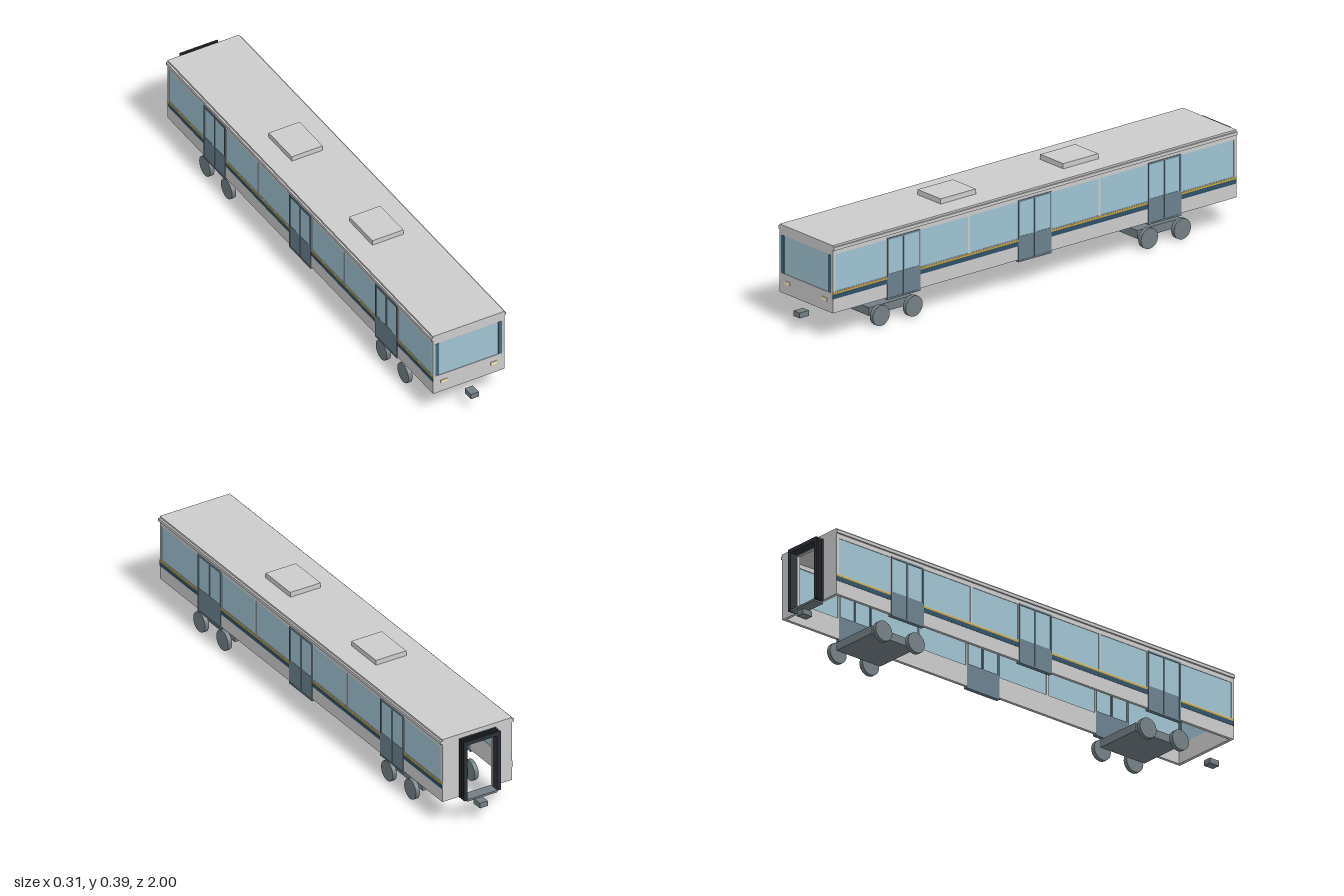
import * as THREE from 'three';

const mat = (color) => new THREE.MeshStandardMaterial({ color });

export function createModel() {
  const M = {
    body: mat(0xcccccc), glass: mat(0x9fc3d2), blue: mat(0x2f5068), yellow: mat(0xc9a63a),
    door: mat(0x6a808e), pillar: mat(0x45667a), lamp: mat(0xf5e6b8), rubber: mat(0x2c3238), steel: mat(0x737f85),
  };
  const root = new THREE.Group();
  root.name = 'railCar';

  // Box given by its limits on each axis
  function box(parent, name, material, x0, x1, y0, y1, z0, z1) {
    const m = new THREE.Mesh(new THREE.BoxGeometry(Math.abs(x1 - x0), y1 - y0, z1 - z0), material);
    m.position.set((x0 + x1) / 2, (y0 + y1) / 2, (z0 + z1) / 2);
    m.name = name;
    parent.add(m);
    return m;
  }
  function group(name, parent = root) {
    const g = new THREE.Group();
    g.name = name;
    parent.add(g);
    return g;
  }

  const END = 0.955, IN = 0.138, OUT = 0.15;
  const SILL = 0.192, HEAD = 0.335, BOTTOM = 0.11, EAVE = 0.352;
  const doors = [-0.615, 0, 0.62], doorHalf = 0.078;

  // Roof, gutters and roof units
  const roof = group('roof');
  box(roof, 'roofPanel', M.body, -OUT, OUT, EAVE, 0.372, -END, END);
  for (const s of [-1, 1]) {
    box(roof, 'gutter', M.body, s * 0.149, s * 0.157, 0.353, 0.365, -END, END);
    box(roof, 'roofUnit', M.body, -0.065, 0.065, 0.372, 0.392, s * 0.29 - 0.083, s * 0.29 + 0.083);
  }

  // Side walls, the same on both sides
  for (const s of [-1, 1]) {
    const side = group(s > 0 ? 'leftSide' : 'rightSide');
    const wall = (name, m, y0, y1, z0, z1, a = IN, b = OUT) => box(side, name, m, s * a, s * b, y0, y1, z0, z1);
    wall('lowerWall', M.body, BOTTOM, SILL, -END, END);
    wall('upperWall', M.body, HEAD, EAVE, -END, END);

    // Bays between the doors: stripes, panes and pillars
    const edges = [-END, ...doors.flatMap((d) => [d - doorHalf, d + doorHalf]), END];
    for (let i = 0; i < edges.length; i += 2) {
      const a = edges[i], b = edges[i + 1];
      wall('blueStripe', M.blue, 0.164, 0.182, a, b, 0.149, 0.1512);
      wall('yellowStripe', M.yellow, 0.182, 0.189, a, b, 0.149, 0.1512);
      wall('windowPane', M.glass, SILL, HEAD, a, b, 0.142, 0.148);
      const posts = b - a > 0.3 ? [a, (a + b) / 2, b] : [a, b];
      for (const p of posts) {
        const z = THREE.MathUtils.clamp(p, -END + 0.004, END - 0.004);
        wall('windowPillar', M.body, SILL, HEAD, z - 0.004, z + 0.004);
      }
    }

    // Double doors with a pane in each leaf
    for (const d of doors) {
      const z0 = d - doorHalf, z1 = d + doorHalf;
      wall('doorLowerPanel', M.door, 0.106, 0.2, z0 + 0.005, z1 - 0.005, 0.137, 0.151);
      wall('doorGlass', M.glass, 0.2, 0.334, z0 + 0.005, z1 - 0.005, 0.142, 0.15);
      for (const z of [z0, d - 0.003, z1 - 0.006]) {
        wall('doorUpright', M.door, 0.103, 0.34, z, z + 0.006, 0.137, 0.1525);
      }
      wall('doorTopRail', M.door, 0.333, 0.34, z0, z1, 0.137, 0.1525);
      wall('doorStep', M.door, 0.102, 0.108, z0, z1, 0.137, 0.1525);
    }
  }

  // Front end with windscreen, dark corner strips and headlights
  const front = group('frontEnd');
  box(front, 'frontLowerPanel', M.body, -OUT, OUT, BOTTOM, 0.186, 0.943, END);
  box(front, 'frontHeader', M.body, -OUT, OUT, 0.333, EAVE, 0.943, END);
  box(front, 'windscreen', M.glass, -0.127, 0.127, 0.186, 0.333, 0.946, 0.953);
  for (const s of [-1, 1]) {
    box(front, 'cornerPost', M.body, s * 0.138, s * OUT, 0.186, 0.333, 0.943, END);
    box(front, 'cornerStrip', M.pillar, s * 0.125, s * 0.14, 0.186, 0.333, 0.944, 0.956);
    box(front, 'headlight', M.lamp, s * 0.091, s * 0.118, 0.148, 0.161, 0.953, 0.958);
  }

  // Rear end, open in the middle
  const rear = group('rearEnd');
  for (const s of [-1, 1]) box(rear, 'rearPanel', M.body, s * 0.066, s * OUT, BOTTOM, EAVE, -END, -0.943);
  box(rear, 'rearHeader', M.body, -0.066, 0.066, 0.335, EAVE, -END, -0.943);

  // Gangway: alternating wide and narrow bellows frames and a threshold
  const gangway = group('gangway');
  for (let i = 0; i < 5; i++) {
    const z1 = -END - i * 0.007, w = i % 2 ? 0.075 : 0.079, top = i % 2 ? 0.35 : 0.354;
    for (const s of [-1, 1]) box(gangway, 'bellowsPost', M.rubber, s * 0.065, s * w, 0.108, top, z1 - 0.007, z1);
    box(gangway, 'bellowsTop', M.rubber, -0.065, 0.065, 0.338, top, z1 - 0.007, z1);
  }
  box(gangway, 'threshold', M.steel, -0.065, 0.065, 0.102, 0.11, -0.99, -0.945);

  // Bogies and couplers at both ends
  const wheelGeo = new THREE.CylinderGeometry(0.04, 0.04, 0.017, 20).rotateZ(Math.PI / 2);
  for (const s of [-1, 1]) {
    const bogie = group(s > 0 ? 'frontBogie' : 'rearBogie');
    bogie.position.z = s * 0.635;
    box(bogie, 'bogieFrame', M.steel, -0.098, 0.098, 0.035, 0.067, -0.105, 0.105);
    for (const x of [-0.1265, 0.1265]) {
      for (const z of [-0.078, 0.078]) {
        const wheel = new THREE.Mesh(wheelGeo, M.steel);
        wheel.name = 'wheel';
        wheel.position.set(x, 0.0405, z);
        bogie.add(wheel);
      }
    }
    box(root, 'coupler', M.steel, -0.017, 0.017, 0.064, 0.085, s * 0.978 - 0.022, s * 0.978 + 0.022);
  }
  return root;
}
